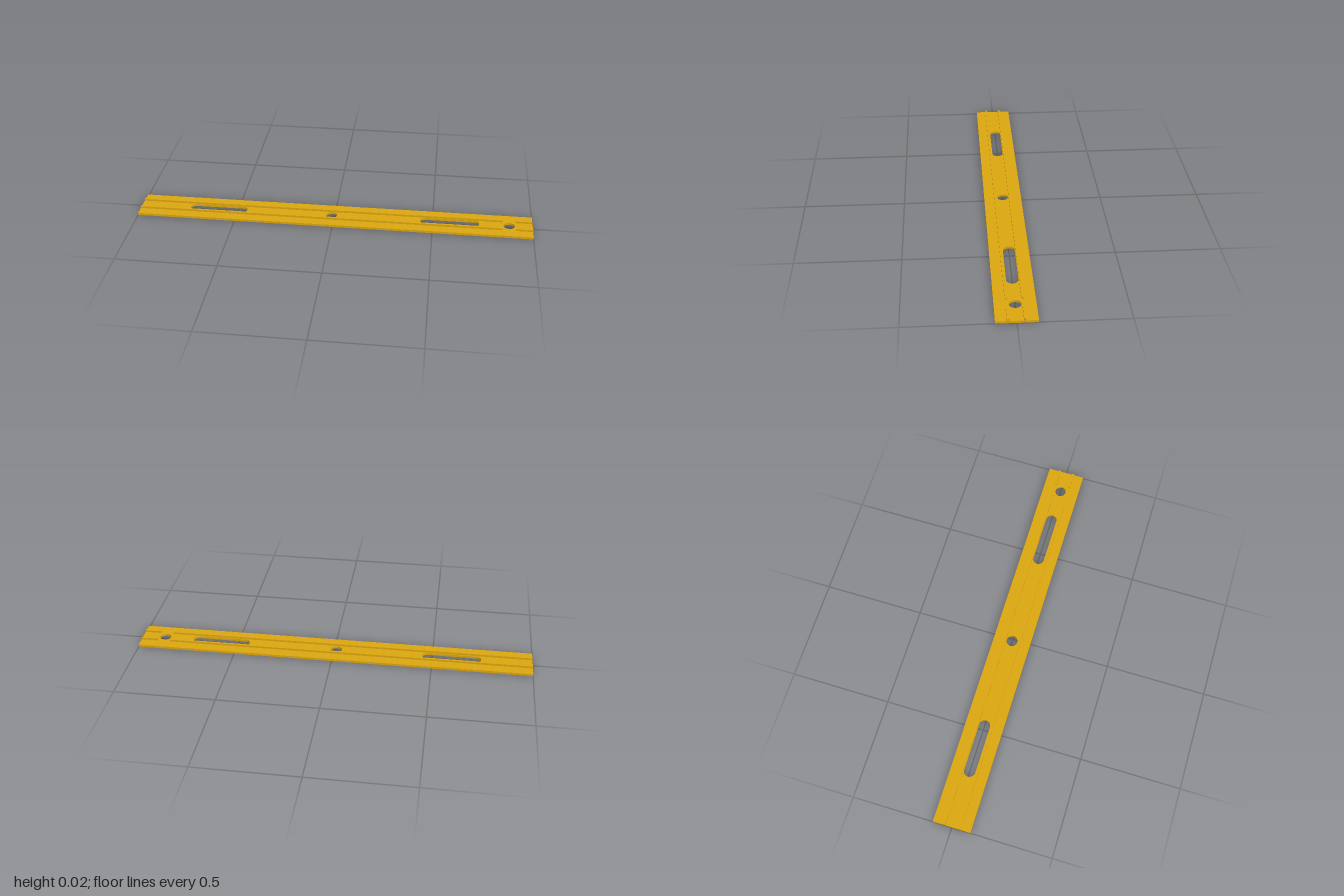
import * as THREE from 'three';

const PLATE_T = 0.0115, TOP = 0.0215, HALF_W = 0.094;

// Rounded slot along x; equal ends give a round hole
function slot(x0, x1, r) {
  const p = new THREE.Path();
  p.absarc(x1 - r, 0, r, -Math.PI / 2, Math.PI / 2, false);
  p.absarc(x0 + r, 0, r, Math.PI / 2, Math.PI * 1.5, false);
  p.closePath();
  return p;
}

export function createModel() {
  const group = new THREE.Group();
  group.name = 'ruler';
  const mat = new THREE.MeshStandardMaterial({ color: 0xdaa510 });

  // Flat plate with two long slots and two round holes
  const outline = new THREE.Shape();
  outline.moveTo(-1, -HALF_W);
  outline.lineTo(1, -HALF_W);
  outline.lineTo(1, HALF_W);
  outline.lineTo(-1, HALF_W);
  outline.closePath();
  const r = 0.028;
  outline.holes.push(slot(-0.745, -0.45, r), slot(0.437, 0.733, r));
  for (const x of [-0.013, 0.883]) {
    const hole = new THREE.Path();
    hole.absarc(x, 0, r, 0, Math.PI * 2, false);
    outline.holes.push(hole);
  }
  const plateGeo = new THREE.ExtrudeGeometry(outline, { depth: PLATE_T, bevelEnabled: false, curveSegments: 24 });
  plateGeo.rotateX(-Math.PI / 2);
  const plate = new THREE.Mesh(plateGeo, mat);
  plate.name = 'plate';
  group.add(plate);

  // Two raised rails, each interrupted beside the end hole
  for (const z of [0.038, -0.036]) {
    for (const [x0, x1] of [[-1, 0.85], [0.915, 1]]) {
      const h = TOP - PLATE_T;
      const rail = new THREE.Mesh(new THREE.BoxGeometry(x1 - x0, h, 0.011), mat);
      rail.position.set((x0 + x1) / 2, PLATE_T + h / 2, z);
      rail.name = 'rail';
      group.add(rail);
    }
  }
  return group;
}
